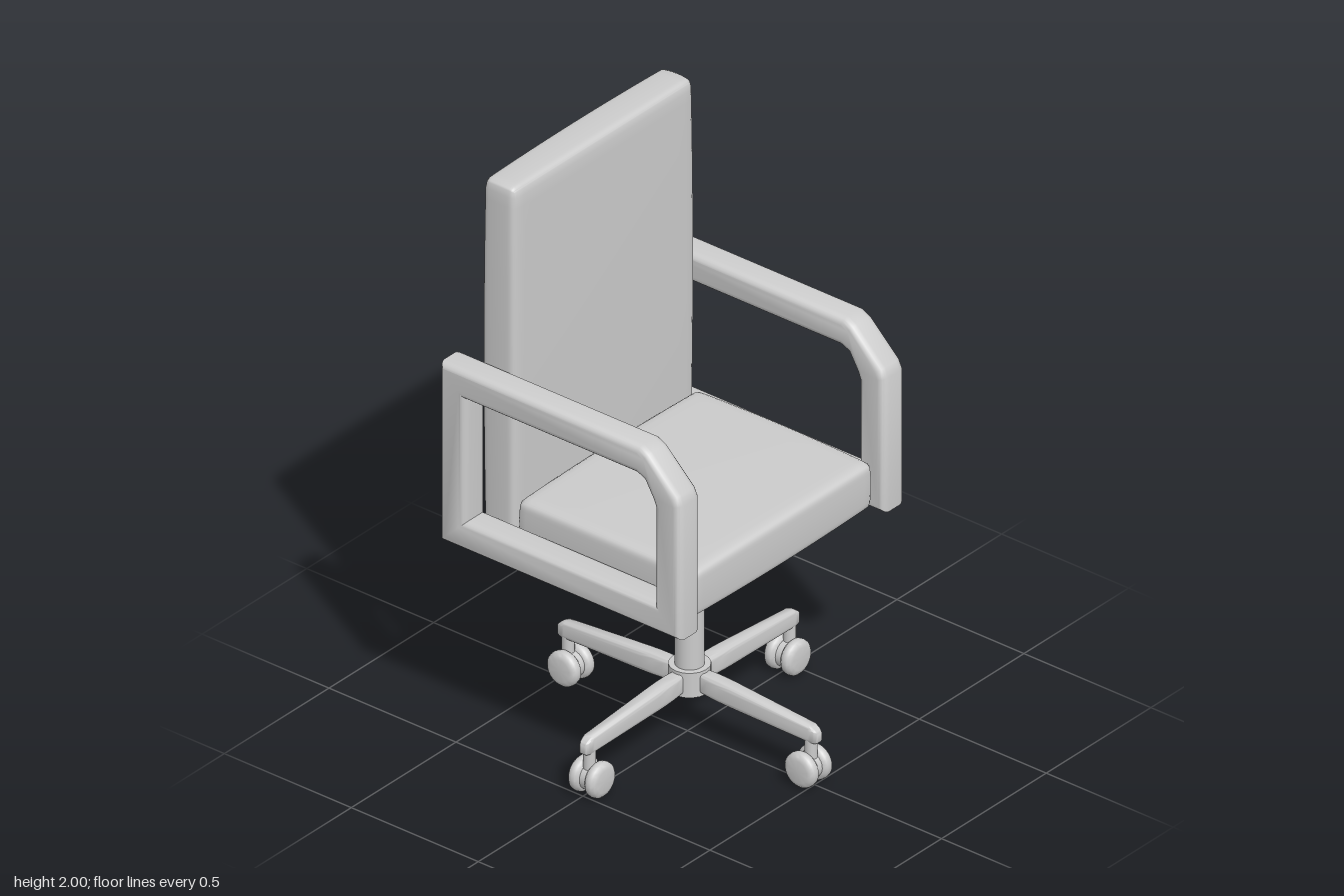
import * as THREE from 'three';
import { mergeVertices, toCreasedNormals } from 'three/addons/utils/BufferGeometryUtils.js';
import { RoundedBoxGeometry } from 'three/addons/geometries/RoundedBoxGeometry.js';

const material = new THREE.MeshStandardMaterial({ color: 0xcccccc });

function addMesh(parent, name, geometry, x = 0, y = 0, z = 0) {
  const mesh = new THREE.Mesh(geometry, material);
  mesh.name = name;
  mesh.position.set(x, y, z);
  parent.add(mesh);
  return mesh;
}

// Upright cylinder given by its bottom and top heights
function addPost(parent, name, radius, y0, y1, sides = 32) {
  return addMesh(parent, name, new THREE.CylinderGeometry(radius, radius, y1 - y0, sides), 0, (y0 + y1) / 2, 0);
}

// Upholstered block: rounded edges and gently crowned faces
function addCushion(parent, name, w, y0, y1, z0, z1) {
  const box = new THREE.BoxGeometry(2, 2, 2, 20, 20, 20);
  box.deleteAttribute('normal');
  box.deleteAttribute('uv');
  const geometry = mergeVertices(box);
  const half = new THREE.Vector3(w, y1 - y0, z1 - z0).multiplyScalar(0.5);
  const radius = 0.026, crown = 0.009;
  const core = half.clone().subScalar(radius);
  const p = geometry.attributes.position;
  const u = new THREE.Vector3(), v = new THREE.Vector3(), inner = new THREE.Vector3();
  for (let i = 0; i < p.count; i++) {
    u.fromBufferAttribute(p, i);
    u.set(...u.toArray().map((c) => Math.sin(c * Math.PI / 2)));
    v.copy(u).multiply(half);
    inner.copy(v).clamp(core.clone().negate(), core);
    v.sub(inner).setLength(radius).add(inner);
    const [a, b, c] = u.toArray().map((k) => k * k);
    v.x -= u.x * crown * (b + c) / 2;
    v.y -= u.y * crown * (a + c) / 2;
    v.z -= u.z * crown * (a + b) / 2;
    p.setXYZ(i, v.x, v.y, v.z);
  }
  geometry.computeVertexNormals();
  return addMesh(parent, name, geometry, 0, (y0 + y1) / 2, (z0 + z1) / 2);
}

// Closed armrest loop with a cut front corner, drawn as [z, y] and extruded along x
function armrestGeometry() {
  const points = (list) => list.map(([z, y]) => new THREE.Vector2(-z, y)).reverse();
  const shape = new THREE.Shape(points([
    [0.412, 0.725], [0.412, 1.2], [0.398, 1.23], [0.285, 1.34], [0.25, 1.357], [-0.535, 1.357], [-0.535, 0.725],
  ]));
  shape.holes.push(new THREE.Path(points([
    [0.31, 0.824], [0.31, 1.165], [0.3, 1.19], [0.268, 1.245], [0.24, 1.257], [-0.434, 1.257], [-0.434, 0.824],
  ])));
  const bevel = 0.028, width = 0.106;
  const geometry = new THREE.ExtrudeGeometry(shape, {
    depth: width - 2 * bevel, bevelThickness: bevel, bevelSize: 0.024,
    bevelOffset: -0.024, bevelSegments: 5,
  });
  geometry.translate(0, 0, bevel - width / 2);
  geometry.rotateY(Math.PI / 2);
  return toCreasedNormals(geometry, 0.6);
}

// Base leg running along +z, tapering in width and height
function legGeometry() {
  const geometry = new RoundedBoxGeometry(2, 2, 2, 3, 0.5);
  const p = geometry.attributes.position;
  const { lerp } = THREE.MathUtils;
  for (let i = 0; i < p.count; i++) {
    const t = (p.getZ(i) + 1) / 2;
    const top = lerp(0.248, 0.205, t), bottom = lerp(0.168, 0.153, t);
    p.setXYZ(i,
      p.getX(i) * lerp(0.03, 0.018, t),
      lerp(bottom, top, (p.getY(i) + 1) / 2),
      t > 0.75 ? 0.48 + (t - 0.75) * 0.13 : lerp(0.02, 0.48, t / 0.75));
  }
  geometry.computeVertexNormals();
  return toCreasedNormals(geometry, 0.9);
}

// Rounded wheel with its axle along x
function wheelGeometry() {
  const profile = [
    [0, -0.022], [0.038, -0.022], [0.05, -0.019], [0.058, -0.011], [0.06, 0],
    [0.058, 0.011], [0.05, 0.019], [0.038, 0.022], [0, 0.022],
  ].map(([r, h]) => new THREE.Vector2(r, h));
  const geometry = new THREE.LatheGeometry(profile, 28);
  geometry.rotateZ(Math.PI / 2);
  return toCreasedNormals(geometry, 0.7);
}

export function createModel() {
  const chair = new THREE.Group();
  chair.name = 'officeChair';

  // Upholstery
  addCushion(chair, 'seat', 0.874, 0.73, 0.912, -0.325, 0.384);
  addCushion(chair, 'backrest', 0.876, 0.73, 2, -0.463, -0.318);

  // Armrests
  const armrest = armrestGeometry();
  addMesh(chair, 'leftArmrest', armrest, 0.488);
  addMesh(chair, 'rightArmrest', armrest, -0.488);

  // Gas lift and its mounting plate
  const base = new THREE.Group();
  base.name = 'base';
  base.position.z = 0.008;
  chair.add(base);
  addPost(base, 'mountingPlate', 0.2, 0.68, 0.74, 48);
  addPost(base, 'liftCollar', 0.044, 0.645, 0.69);
  addPost(base, 'liftRod', 0.03, 0.57, 0.65);
  addPost(base, 'liftColumn', 0.046, 0.2, 0.58);
  addPost(base, 'baseHub', 0.066, 0.163, 0.25, 16);

  // Four legs, each with a twin-wheel caster
  const leg = legGeometry();
  const wheel = wheelGeometry();
  const hub = new THREE.CylinderGeometry(0.045, 0.045, 0.024, 24).rotateZ(Math.PI / 2);
  for (let i = 0; i < 4; i++) {
    const arm = new THREE.Group();
    arm.name = 'baseLeg' + (i + 1);
    arm.rotation.y = i * Math.PI / 2;
    addMesh(arm, 'leg', leg);

    const caster = new THREE.Group();
    caster.name = 'caster';
    caster.position.z = 0.468;
    addPost(caster, 'casterStem', 0.02, 0.1, 0.165, 16).position.z = 0.01;
    addMesh(caster, 'casterHub', hub, 0, 0.065, 0);
    for (const side of [-1, 1]) addMesh(caster, 'wheel', wheel, side * 0.032, 0.065, 0);
    arm.add(caster);
    base.add(arm);
  }
  return chair;
}
